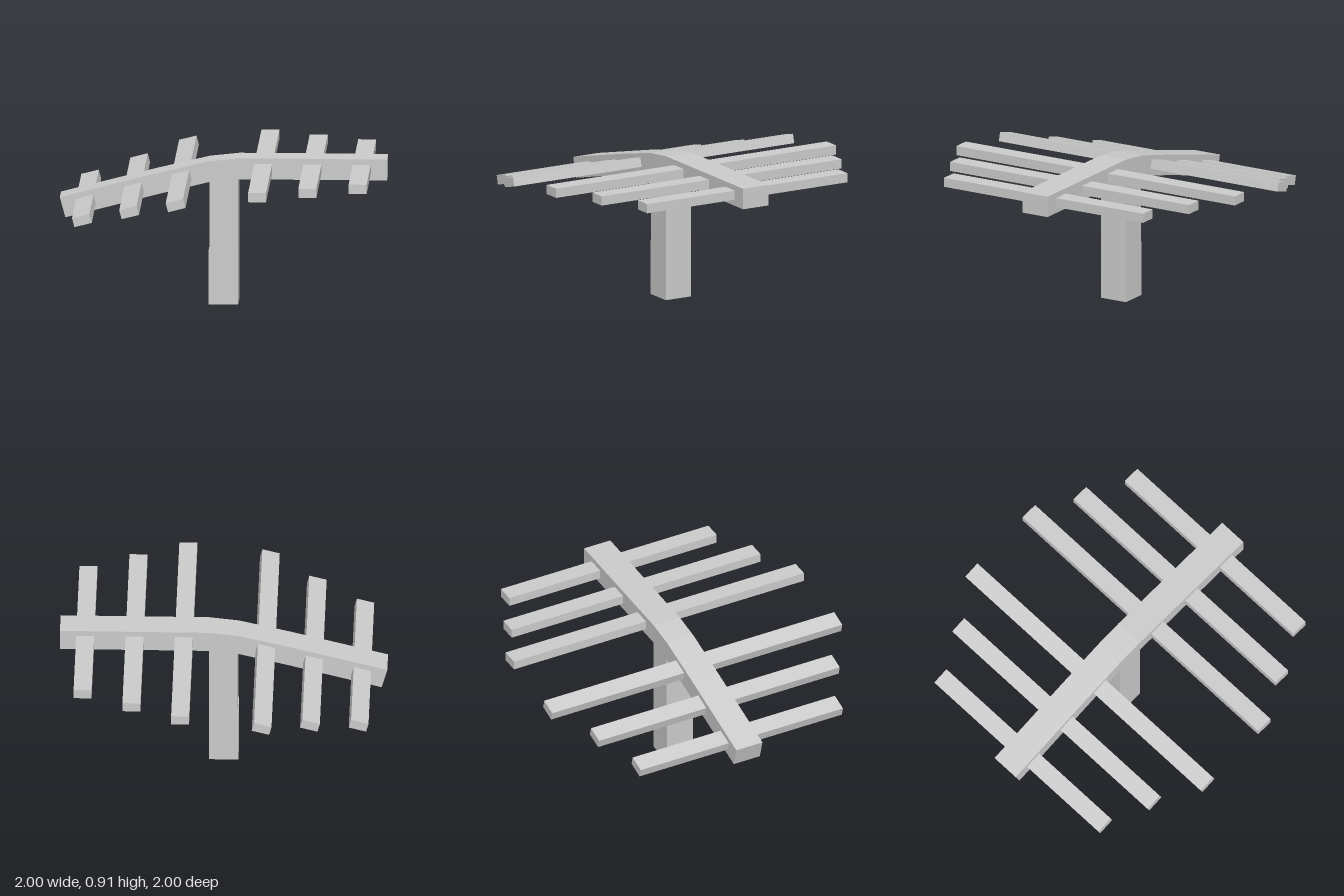
import * as THREE from 'three';

const material = new THREE.MeshStandardMaterial({ color: 0xcccccc, flatShading: true });

function addMesh(parent, name, geometry) {
  const mesh = new THREE.Mesh(geometry, material);
  mesh.name = name;
  parent.add(mesh);
  return mesh;
}

// Post and bent beam share one side outline, extruded to the beam width
function frameGeometry(width) {
  const outline = [
    [-0.09, 0], [0.09, 0], [0.09, 0.78], [1, 0.78], [1, 0.91], [0.09, 0.91],
    [-0.09, 0.89], [-0.41, 0.813], [-1, 0.66], [-0.966, 0.535], [-0.38, 0.689],
    [-0.085, 0.762], [-0.085, 0.34], [-0.09, 0.34],
  ];
  const shape = new THREE.Shape(outline.map(([x, y]) => new THREE.Vector2(x, y)));
  return new THREE.ExtrudeGeometry(shape, { depth: width, bevelEnabled: false })
    .translate(0, 0, -width / 2);
}

export function createModel() {
  const model = new THREE.Group();
  model.name = 'canopyFrame';
  addMesh(model, 'postAndBeam', frameGeometry(0.18));

  // Cross bars: x, y, length, tilt
  const tilt = THREE.MathUtils.degToRad(14.5);
  const bars = [
    [-0.84, 0.636, 1.395, tilt],
    [-0.546, 0.714, 1.66, tilt],
    [-0.255, 0.793, 2, tilt],
    [0.243, 0.847, 2, 0],
    [0.544, 0.847, 1.715, 0],
    [0.846, 0.847, 1.43, 0],
  ];
  bars.forEach(([x, y, length, angle], i) => {
    const bar = addMesh(model, `crossBar${i + 1}`, new THREE.BoxGeometry(0.11, 0.058, length));
    bar.position.set(x, y, 0);
    bar.rotation.z = angle;
  });
  return model;
}
